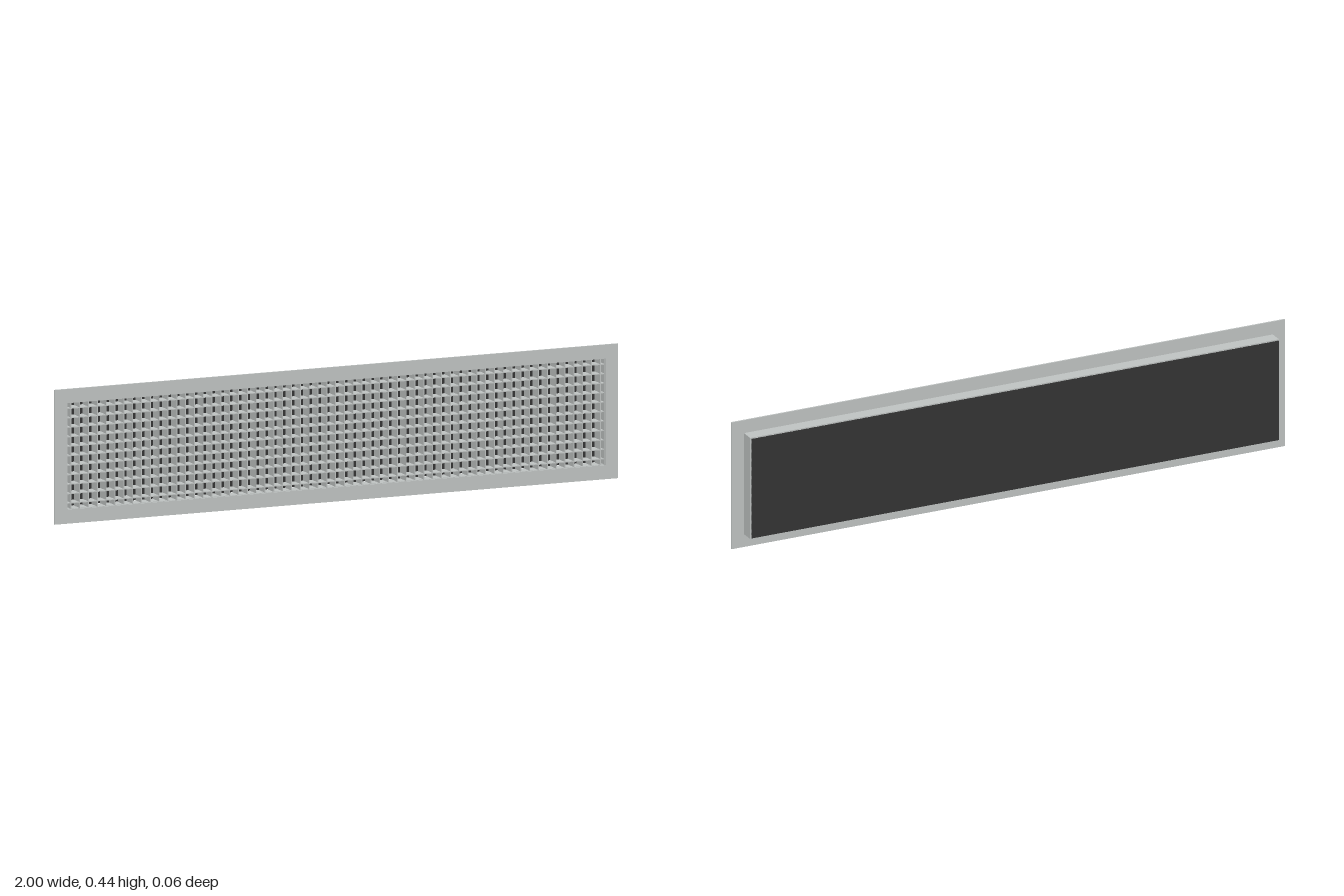
import * as THREE from 'three';

export function createModel() {
  const group = new THREE.Group();
  group.name = 'ventGrille';
  const metal = new THREE.MeshStandardMaterial({ color: 0xc0c4c3 });
  metal.name = 'light grey metal';
  const dark = new THREE.MeshStandardMaterial({ color: 0x343434 });
  dark.name = 'dark backing';

  const midY = 0.2225;

  // Rectangular ring extruded along z
  function ring(name, w, h, innerW, innerH, z0, z1) {
    const rect = (P, a, b) => new P([
      new THREE.Vector2(-a / 2, -b / 2), new THREE.Vector2(a / 2, -b / 2),
      new THREE.Vector2(a / 2, b / 2), new THREE.Vector2(-a / 2, b / 2),
    ]);
    const shape = rect(THREE.Shape, w, h);
    shape.holes.push(rect(THREE.Path, innerW, innerH));
    const geo = new THREE.ExtrudeGeometry(shape, { depth: z1 - z0, bevelEnabled: false });
    const mesh = new THREE.Mesh(geo, metal);
    mesh.name = name;
    mesh.position.set(0, midY, z0);
    group.add(mesh);
  }

  function box(name, w, h, z0, z1, x, y, material) {
    const mesh = new THREE.Mesh(new THREE.BoxGeometry(w, h, z1 - z0), material);
    mesh.name = name;
    mesh.position.set(x, y, (z0 + z1) / 2);
    group.add(mesh);
  }

  // Front flange and the sleeve behind it
  ring('flange', 2, 0.445, 1.908, 0.352, 0.0225, 0.028);
  ring('sleeve', 1.91, 0.355, 1.904, 0.349, -0.0235, 0.0225);

  // Dark plate closing the back
  box('backPlate', 1.904, 0.349, -0.028, -0.0262, 0, midY, dark);

  // Egg-crate core of thin crossing blades
  const pitch = 0.0313;
  const t = 0.003;
  for (let i = -30; i <= 30; i++) {
    box('verticalBlade', t, 0.35, -0.0225, 0.0225, i * pitch, midY, metal);
  }
  for (let j = -5; j <= 5; j++) {
    box('horizontalBlade', 1.905, t, -0.0223, 0.0223, 0, midY + j * pitch, metal);
  }
  return group;
}
